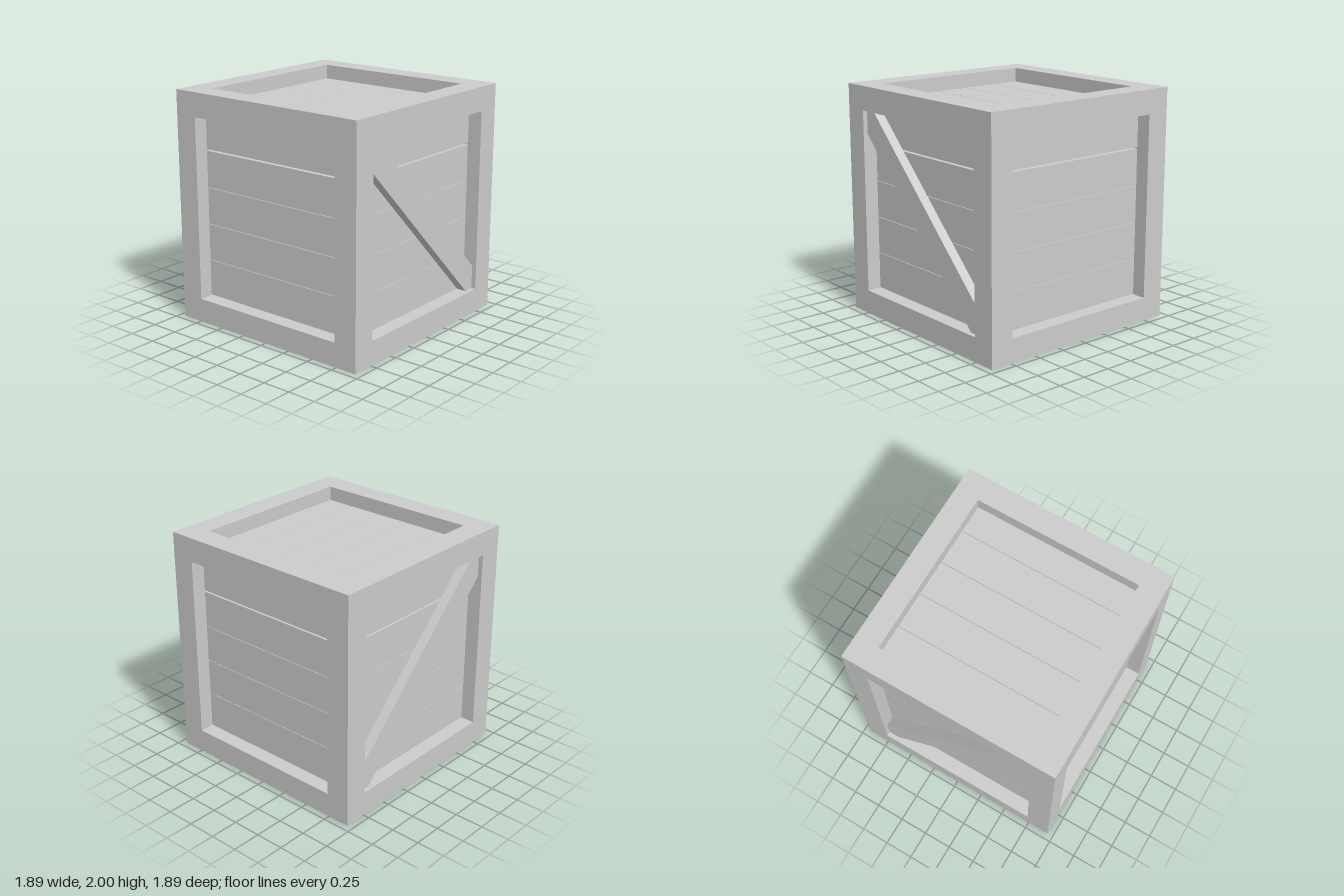
import * as THREE from 'three';

const HALF = 0.945, H = 2, BAR = 0.208;
const INNER = HALF - BAR;            // half width of each opening
const RECESS = 0.125;                // how far the planks sit behind the frame
const PLANK_T = BAR - RECESS, PITCH = 0.32, SEAM = 0.004;

const material = new THREE.MeshStandardMaterial({ color: 0xcccccc, flatShading: true });

function box(parent, name, size, pos) {
  const mesh = new THREE.Mesh(new THREE.BoxGeometry(...size), material);
  mesh.position.set(...pos);
  mesh.name = name;
  parent.add(mesh);
  return mesh;
}

// Twelve square bars: four corner posts, with rails between them
function buildFrame() {
  const frame = new THREE.Group();
  frame.name = 'frame';
  const c = HALF - BAR / 2;
  for (const a of [-1, 1]) {
    for (const b of [-1, 1]) {
      const railY = H / 2 + b * (H - BAR) / 2;
      box(frame, 'cornerPost', [BAR, H, BAR], [a * c, H / 2, b * c]);
      box(frame, 'crossRail', [2 * INNER, BAR, BAR], [0, railY, a * c]);
      box(frame, 'sideRail', [BAR, BAR, 2 * INNER], [a * c, railY, 0]);
    }
  }
  return frame;
}

// Horizontal planks of one wall, with an open slit under the top plank
function buildWall(name) {
  const wall = new THREE.Group();
  wall.name = name;
  const z = HALF - RECESS - PLANK_T / 2;
  for (let i = 0; i < 5; i++) {
    const bottom = 0.212 + i * PITCH + (i === 4 ? 0.01 : 0);
    const top = i === 4 ? H - BAR + 0.02 : bottom + PITCH - SEAM;
    box(wall, 'wallPlank', [2 * INNER + 0.04, top - bottom, PLANK_T], [0, (top + bottom) / 2, z]);
  }
  return wall;
}

// Planks of the lid or floor, running front to back
function buildDeck(name, y) {
  const deck = new THREE.Group();
  deck.name = name;
  for (let i = -2; i <= 2; i++) {
    box(deck, 'deckPlank', [PITCH - SEAM, PLANK_T, 2 * INNER + 0.04], [i * PITCH + 0.005, y, 0]);
  }
  return deck;
}

// Diagonal brace, cut to fit the opening; it rises towards the front
function buildBrace(side) {
  const lo = BAR, hi = H - BAR, half = 0.15, mid = H / 2;
  // Shape x is -z of the model
  const outline = [
    [-INNER, mid + INNER - half], [-(lo - mid + half), lo], [INNER, lo],
    [INNER, mid - INNER + half], [-(hi - mid - half), hi], [-INNER, hi],
  ];
  const shape = new THREE.Shape(outline.map(([x, y]) => new THREE.Vector2(x, y)));
  const depth = RECESS - 0.04;
  const geometry = new THREE.ExtrudeGeometry(shape, { depth, bevelEnabled: false });
  geometry.rotateY(Math.PI / 2);
  const brace = new THREE.Mesh(geometry, material);
  brace.position.x = side > 0 ? HALF - RECESS : -(HALF - RECESS) - depth;
  brace.name = side > 0 ? 'leftBrace' : 'rightBrace';
  return brace;
}

export function createModel() {
  const crate = new THREE.Group();
  crate.name = 'crate';
  crate.add(buildFrame());

  ['frontWall', 'leftWall', 'backWall', 'rightWall'].forEach((name, i) => {
    const wall = buildWall(name);
    wall.rotation.y = i * Math.PI / 2;
    crate.add(wall);
  });

  const inset = RECESS + PLANK_T / 2;
  crate.add(buildDeck('lid', H - inset), buildDeck('floor', inset));
  crate.add(buildBrace(1), buildBrace(-1));
  return crate;
}
